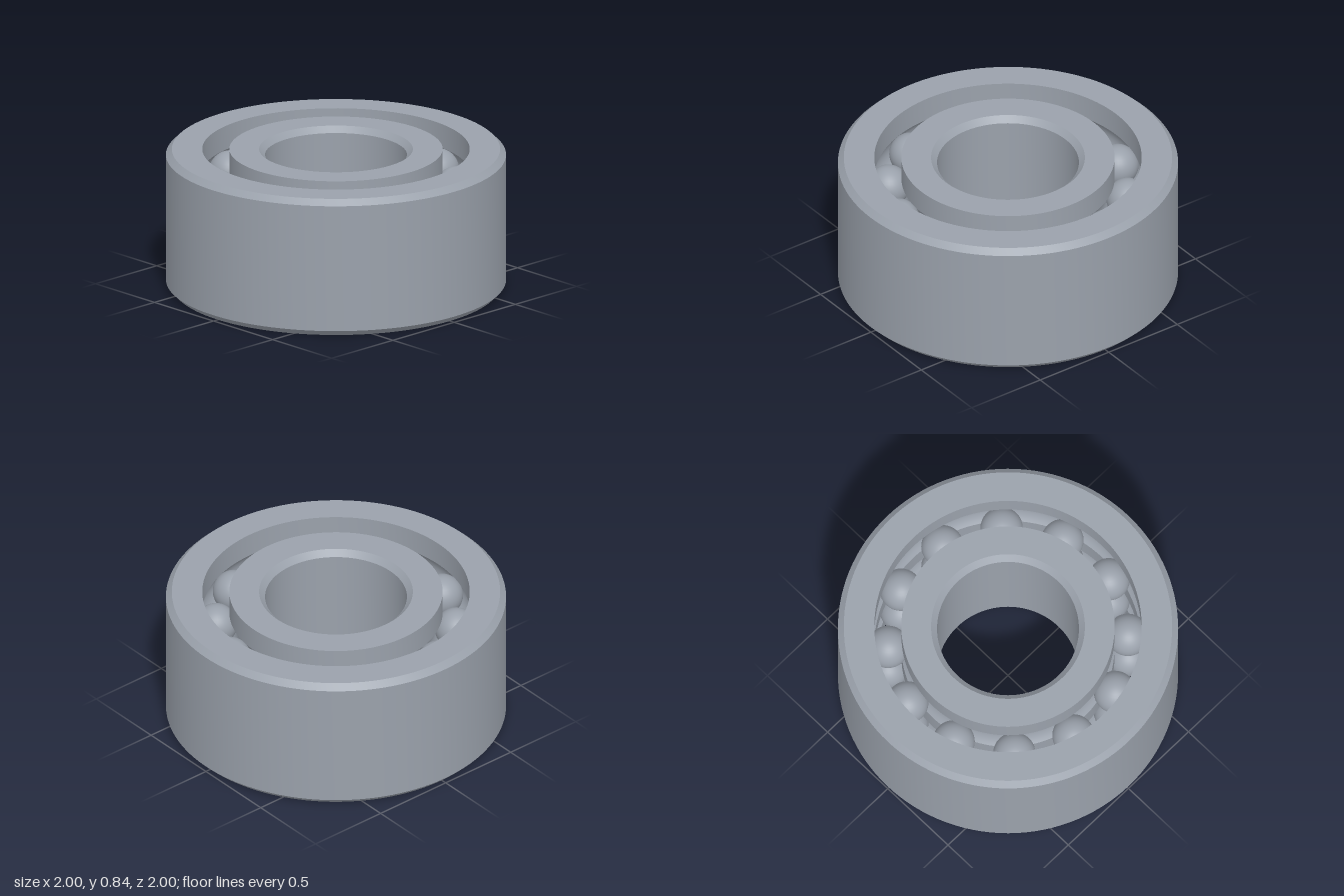
import * as THREE from 'three';
import { toCreasedNormals } from 'three/addons/utils/BufferGeometryUtils.js';

const HEIGHT = 0.84;        // ring height
const CHAMFER = 0.035;
const PITCH = 0.706;        // radius of the ball circle
const BALL = 0.125;
const GROOVE = 0.127;
const OUTER_WALL = 0.786;   // inside of the outer ring
const INNER_WALL = 0.627;   // outside of the inner ring
const BORE = 0.417;
const ROWS = [0.245, HEIGHT - 0.245];
const BALLS_PER_ROW = 12;

// Arc of a raceway cut into a wall; side is +1 for the outer ring, -1 for the inner one
function raceway(y, wall, side) {
  const half = Math.acos(Math.abs(wall - PITCH) / GROOVE);
  const points = [];
  const steps = 10;
  for (let i = 0; i <= steps; i++) {
    const t = side * half * (1 - (2 * i) / steps);
    points.push([PITCH + side * GROOVE * Math.cos(t), y + GROOVE * Math.sin(t)]);
  }
  return points;
}

// Closed profile turned into a ring with crisp edges
function ring(name, profile, material) {
  const points = [...profile, profile[0]].map(([r, y]) => new THREE.Vector2(r, y));
  const geometry = toCreasedNormals(new THREE.LatheGeometry(points, 120), 0.5);
  const mesh = new THREE.Mesh(geometry, material);
  mesh.name = name;
  return mesh;
}

export function createModel() {
  const model = new THREE.Group();
  model.name = 'ballBearing';
  const steel = new THREE.MeshStandardMaterial({ color: 0x9aa1ab });
  steel.name = 'steel';

  // Outer ring: chamfered outside, two raceways inside
  model.add(ring('outerRing', [
    [1 - CHAMFER, 0],
    [1, CHAMFER],
    [1, HEIGHT - CHAMFER],
    [1 - CHAMFER, HEIGHT],
    [OUTER_WALL, HEIGHT],
    ...raceway(ROWS[1], OUTER_WALL, 1),
    ...raceway(ROWS[0], OUTER_WALL, 1),
    [OUTER_WALL, 0],
  ], steel));

  // Inner ring: two raceways outside, chamfered bore
  model.add(ring('innerRing', [
    [INNER_WALL, 0],
    ...raceway(ROWS[0], INNER_WALL, -1),
    ...raceway(ROWS[1], INNER_WALL, -1),
    [INNER_WALL, HEIGHT],
    [BORE + CHAMFER, HEIGHT],
    [BORE, HEIGHT - CHAMFER],
    [BORE, CHAMFER],
    [BORE + CHAMFER, 0],
  ], steel));

  // Two rows of balls
  const ballGeometry = new THREE.SphereGeometry(BALL, 32, 20);
  ROWS.forEach((y, row) => {
    const group = new THREE.Group();
    group.name = row ? 'upperBalls' : 'lowerBalls';
    for (let i = 0; i < BALLS_PER_ROW; i++) {
      const angle = THREE.MathUtils.degToRad(12 + (i * 360) / BALLS_PER_ROW);
      const ball = new THREE.Mesh(ballGeometry, steel);
      ball.name = 'ball';
      ball.position.set(PITCH * Math.sin(angle), y, -PITCH * Math.cos(angle));
      group.add(ball);
    }
    model.add(group);
  });

  return model;
}
